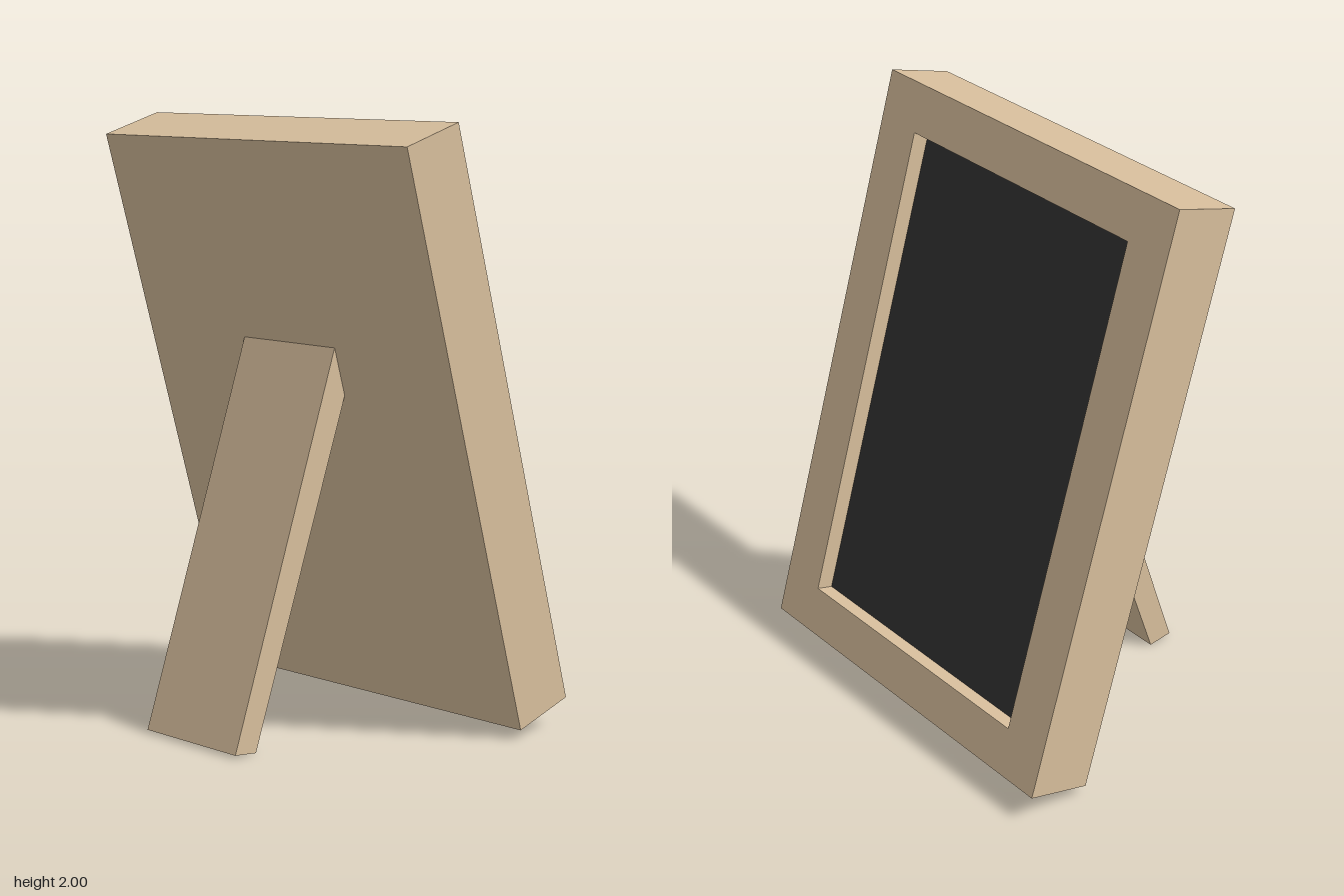
import * as THREE from 'three';

export function createModel() {
  const model = new THREE.Group();
  model.name = 'pictureFrame';

  const wood = new THREE.MeshStandardMaterial({ color: 0xd8bf9d });
  wood.name = 'light wood';
  const dark = new THREE.MeshStandardMaterial({ color: 0x323232 });
  dark.name = 'dark panel';

  const W = 1.38, H = 1.985, T = 0.239; // outer size of the frame
  const openW = 1.036, openH = 1.662, recess = 0.062;
  const lean = 0.286;

  const add = (parent, geometry, material, name, z = 0) => {
    const mesh = new THREE.Mesh(geometry, material);
    mesh.name = name;
    mesh.position.z = z;
    parent.add(mesh);
    return mesh;
  };
  const rectangle = (PathType, w, h) => new PathType([
    [-w / 2, -h / 2], [w / 2, -h / 2], [w / 2, h / 2], [-w / 2, h / 2],
  ].map(([x, y]) => new THREE.Vector2(x, y)));

  // Leaning frame, built upright facing +z, then turned to face +x
  const frame = new THREE.Group();
  frame.name = 'leaningFrame';
  frame.rotation.set(-lean, Math.PI / 2, 0, 'YXZ');
  frame.position.set(0.125, 1.015, 0);
  model.add(frame);

  // Raised border with the picture opening
  const border = rectangle(THREE.Shape, W, H);
  border.holes.push(rectangle(THREE.Path, openW, openH));
  add(frame, new THREE.ExtrudeGeometry(border, { depth: recess, bevelEnabled: false }),
    wood, 'border', T / 2 - recess);

  // Solid backing and the recessed picture panel
  add(frame, new THREE.BoxGeometry(W, H, T - recess), wood, 'backing', -recess / 2);
  add(frame, new THREE.BoxGeometry(openW, openH, 0.004), dark, 'picturePanel', T / 2 - recess);

  // Rear support leg, mitred against the back of the frame
  const legProfile = new THREE.Shape([
    [-0.52, 0.01], [-0.43, 0], [-0.028, 1.11], [-0.075, 1.27],
  ].map(([x, y]) => new THREE.Vector2(x, y)));
  add(model, new THREE.ExtrudeGeometry(legProfile, { depth: 0.42, bevelEnabled: false }),
    wood, 'supportLeg', -0.222);

  return model;
}
